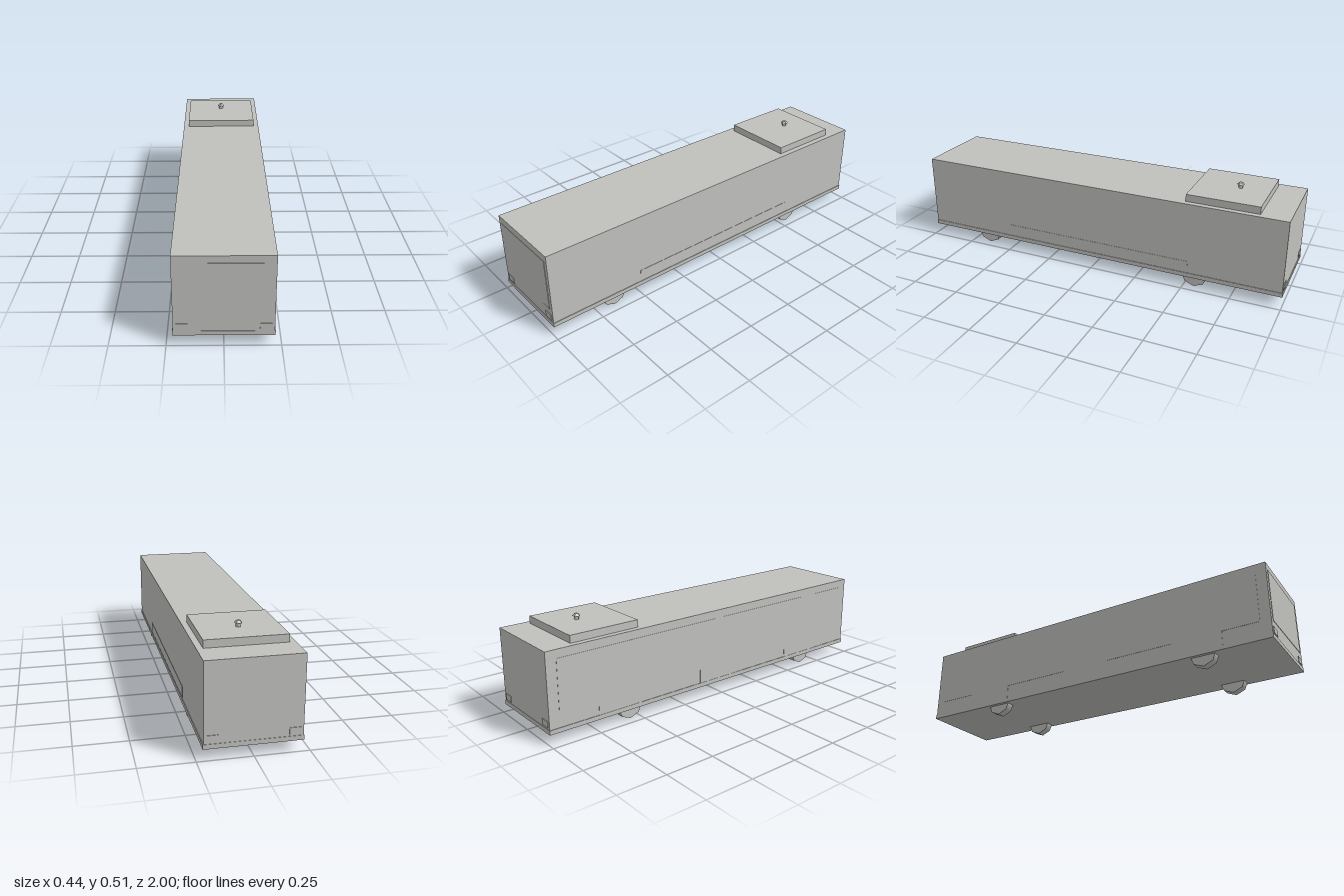
import * as THREE from 'three';

export function createModel() {
  const model = new THREE.Group();
  model.name = 'bus';
  const grey = new THREE.MeshStandardMaterial({ color: 0xc0c1bd });
  grey.name = 'light grey';

  const add = (name, geometry, x, y, z) => {
    const mesh = new THREE.Mesh(geometry, grey);
    mesh.name = name;
    mesh.position.set(x, y, z);
    model.add(mesh);
    return mesh;
  };
  // Box given by its extents on each axis
  const box = (name, [x0, x1], [y0, y1], [z0, z1]) =>
    add(name, new THREE.BoxGeometry(x1 - x0, y1 - y0, z1 - z0),
      (x0 + x1) / 2, (y0 + y1) / 2, (z0 + z1) / 2);

  // Long box body with a slightly wider skirt
  box('body', [-0.219, 0.219], [0.055, 0.447], [-0.996, 0.996]);
  box('skirt', [-0.222, 0.222], [0.053, 0.075], [-0.998, 0.998]);

  // Roof unit with its small vent
  box('roofUnit', [-0.19, 0.19], [0.447, 0.484], [-0.853, -0.486]);
  add('ventStem', new THREE.CylinderGeometry(0.012, 0.012, 0.018, 5).toNonIndexed(), 0, 0.493, -0.705);
  const cap = new THREE.CylinderGeometry(0.01, 0.02, 0.012, 5).toNonIndexed();
  cap.computeVertexNormals();
  add('ventCap', cap, 0, 0.507, -0.705);

  // Windscreen and the lamps at both ends
  box('windscreen', [-0.198, 0.198], [0.147, 0.412], [0.995, 0.998]);
  for (const side of [-1, 1]) {
    const span = [side * 0.206, side * 0.155].sort((a, b) => a - b);
    box('headlight', span, [0.082, 0.113], [0.995, 0.999]);
    box('tailLight', span, [0.084, 0.115], [-0.999, -0.995]);
  }

  // Window band and three doors on the right side
  const doors = [[-0.737, -0.488], [-0.125, 0.139], [0.495, 0.758]];
  const ends = [-0.943, ...doors.flat(), 0.943];
  for (let i = 0; i < ends.length; i += 2) {
    box('sideWindow', [-0.2205, -0.218], [0.147, 0.405], [ends[i], ends[i + 1]]);
  }
  for (const door of doors) box('door', [-0.2205, -0.218], [0.075, 0.405], door);

  // Low panel on the left side
  box('sidePanel', [0.218, 0.2205], [0.08, 0.139], [-0.52, 0.5]);

  // Eight-sided wheels with a corner at the bottom
  for (const side of [-1, 1]) {
    for (const z of [0.651, -0.553]) {
      const wheel = add('wheel', new THREE.CylinderGeometry(0.068, 0.068, 0.042, 8), side * 0.184, 0.068, z);
      wheel.rotation.z = Math.PI / 2;
    }
  }
  return model;
}
